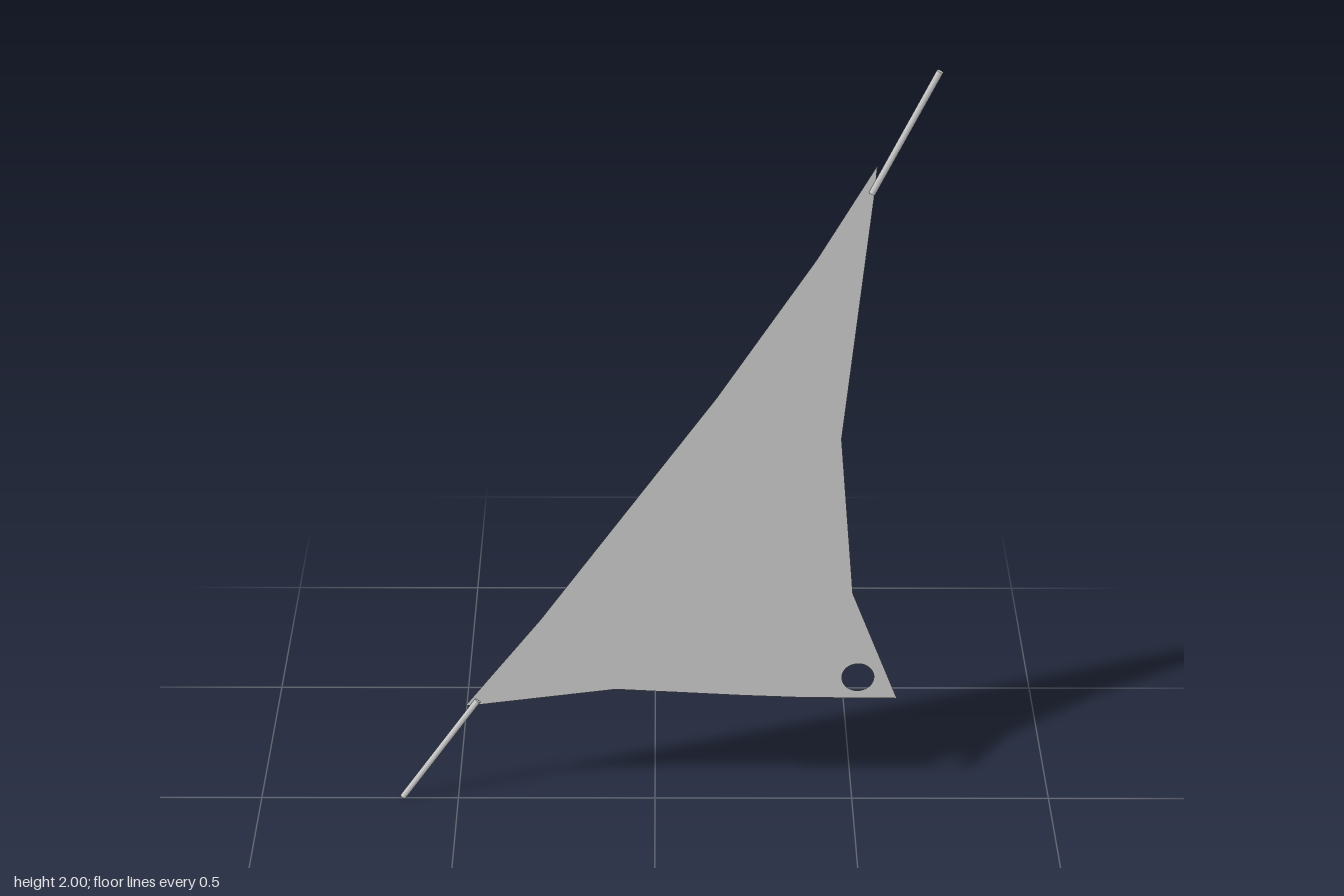
import * as THREE from 'three';

export function createModel() {
  const group = new THREE.Group();
  const sheetMat = new THREE.MeshStandardMaterial({ color: 0xcccccc, side: THREE.DoubleSide });
  const rodMat = new THREE.MeshStandardMaterial({ color: 0xcccccc });

  // Thin flat triangular panel with curved-in edges
  const outline = [
    [0.505, 1.765], [0.373, 1.526], [0.145, 1.161], [-0.283, 0.537], [-0.474, 0.283],
    [-0.442, 0.286], [-0.098, 0.333], [0.22, 0.315], [0.368, 0.309], [0.603, 0.307],
    [0.484, 0.616], [0.444, 1.05], [0.5, 1.685],
  ];
  const shape = new THREE.Shape(outline.map(([x, y]) => new THREE.Vector2(x, y)));

  // Round eyelet in the lower corner
  shape.holes.push(new THREE.Path().absarc(0.504, 0.37, 0.04, 0, Math.PI * 2, true));
  const panel = new THREE.Mesh(new THREE.ShapeGeometry(shape, 16), sheetMat);
  panel.name = 'panel';
  group.add(panel);

  // Slim rods running out from the two pointed corners
  const addRod = (name, from, to) => {
    const a = new THREE.Vector3(...from, 0), b = new THREE.Vector3(...to, 0);
    const dir = b.clone().sub(a);
    const rod = new THREE.Mesh(new THREE.CylinderGeometry(0.008, 0.008, dir.length(), 12), rodMat);
    rod.position.copy(a).add(b).multiplyScalar(0.5);
    rod.quaternion.setFromUnitVectors(new THREE.Vector3(0, 1, 0), dir.normalize());
    rod.name = name;
    group.add(rod);
  };
  addRod('upperRod', [0.495, 1.695], [0.637, 1.996]);
  addRod('lowerRod', [-0.64, 0.005], [-0.442, 0.3]);

  return group;
}
